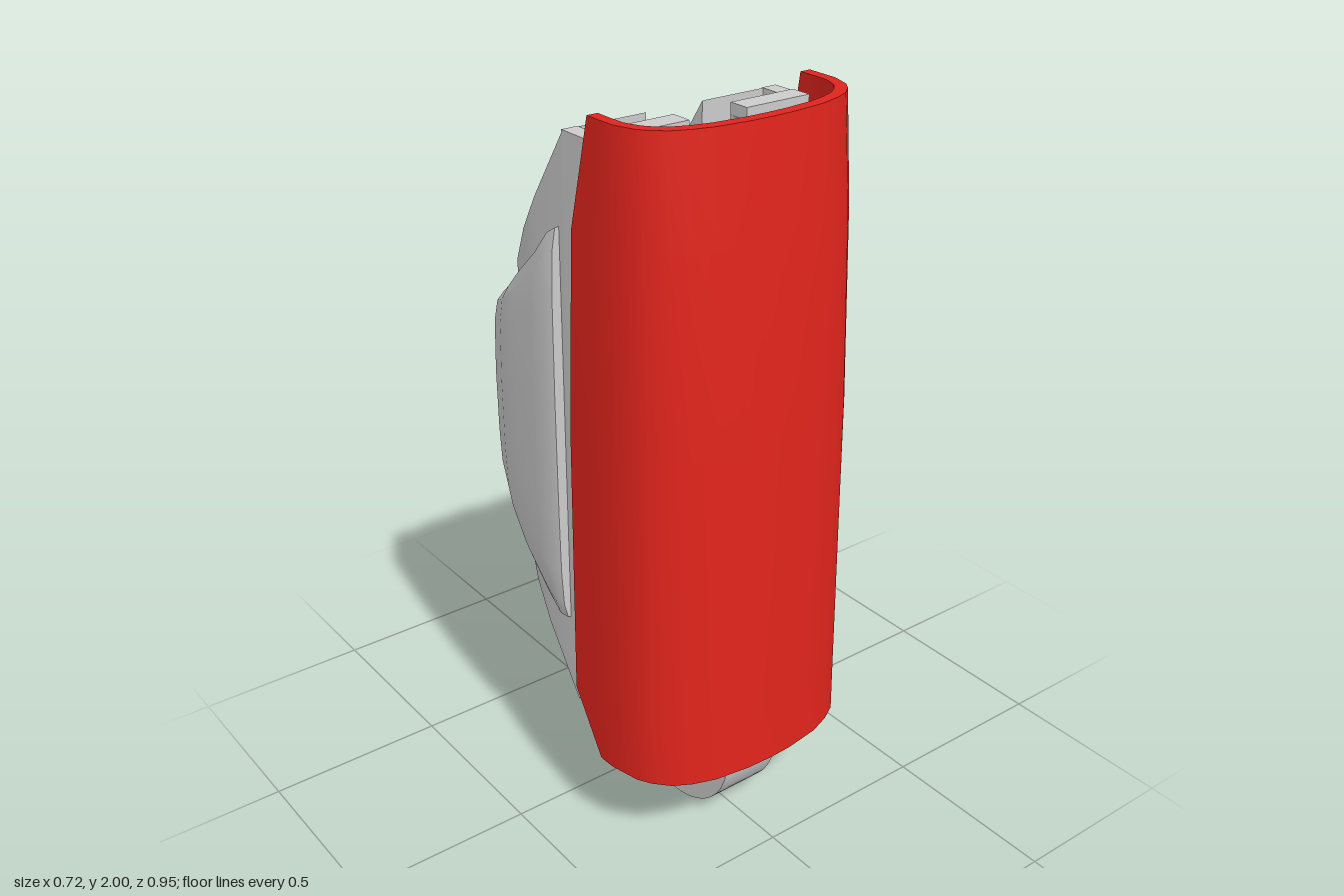
import * as THREE from 'three';
import { toCreasedNormals } from 'three/addons/utils/BufferGeometryUtils.js';

const GREY = 0xcccccc, RED = 0xe0241c;
const lerp = THREE.MathUtils.lerp;

function part(group, name, geometry, color = GREY) {
  const mesh = new THREE.Mesh(geometry, new THREE.MeshStandardMaterial({ color }));
  mesh.name = name;
  group.add(mesh);
  return mesh;
}

function box(group, name, x0, x1, y0, y1, z0, z1) {
  const g = new THREE.BoxGeometry(x1 - x0, y1 - y0, z1 - z0);
  return part(group, name, g.translate((x0 + x1) / 2, (y0 + y1) / 2, (z0 + z1) / 2));
}

// Plan outline (x, z) drawn upright, its top and bottom heights following z
function prism(outline, holes, top, bottom) {
  const shape = new THREE.Shape(outline.map(([x, z]) => new THREE.Vector2(x, z)));
  for (const h of holes) shape.holes.push(new THREE.Path(h.map(([x, z]) => new THREE.Vector2(x, z))));
  const g = new THREE.ExtrudeGeometry(shape, { depth: 1, bevelEnabled: false }).rotateX(Math.PI / 2);
  const p = g.attributes.position;
  for (let i = 0; i < p.count; i++) {
    const z = p.getZ(i);
    p.setY(i, lerp(top(z), bottom(z), -p.getY(i)));
  }
  return toCreasedNormals(g, 0.6);
}

// Skin stacked rows of points; a closed row is a thin wall with capped ends
function loft(rows, closed, crease) {
  const n = rows[0].length, index = [];
  const quad = (a, b, c, d) => index.push(a, b, c, a, c, d);
  for (let i = 0; i < rows.length - 1; i++)
    for (let j = 0; j < (closed ? n : n - 1); j++) {
      const k = (j + 1) % n;
      quad(i * n + j, (i + 1) * n + j, (i + 1) * n + k, i * n + k);
    }
  if (closed) {
    const last = (rows.length - 1) * n;
    for (let j = 0; j < n / 2 - 1; j++) {
      quad(last + j, last + n - 1 - j, last + n - 2 - j, last + j + 1);
      quad(j, j + 1, n - 2 - j, n - 1 - j);
    }
  }
  const g = new THREE.BufferGeometry();
  g.setAttribute('position', new THREE.Float32BufferAttribute(rows.flat(2), 3));
  g.setIndex(index);
  return toCreasedNormals(g, crease);
}

// Half outline mirrored to run from one side to the other through the centre
const mirrored = (half) => [...half, ...half.slice(0, -1).reverse().map(([x, ...r]) => [-x, ...r])];

const ellipse = (cx, cz, rx, rz, n) => Array.from({ length: n }, (_, i) => {
  const a = (i / n) * Math.PI * 2;
  return [cx + rx * Math.cos(a), cz + rz * Math.sin(a)];
});

// Rounded U at the front: half width w, front zf, open end zb
const frontU = (w, zf, zb) => mirrored([
  [w, zb], [w, lerp(zb, 0.23, 0.6)], [w * 0.995, 0.25], [w * 0.94, lerp(0.23, zf, 0.42)],
  [w * 0.88, lerp(0.23, zf, 0.57)], [w * 0.78, lerp(0.23, zf, 0.73)], [w * 0.65, lerp(0.23, zf, 0.84)],
  [w * 0.48, lerp(0.23, zf, 0.93)], [w * 0.2, lerp(0.23, zf, 0.99)], [0, zf],
]);

export function createModel() {
  const model = new THREE.Group();
  model.name = 'lowerLeg';

  // Red front shell: height, half width, front z, back edge z
  const shellRows = [
    [0.26, 0.36, 0.475, 0.2], [0.43, 0.36, 0.47, 0.09], [1.2, 0.355, 0.455, 0.09],
    [1.72, 0.343, 0.435, 0.1], [2, 0.33, 0.41, 0.155],
  ].map(([y, w, zf, zb]) => [
    ...frontU(w, zf, zb), ...frontU(w - 0.03, zf - 0.032, zb).reverse(),
  ].map(([x, z]) => [x, y, z]));
  part(model, 'frontShell', loft(shellRows, true, 0.6), RED);

  // Rear body with sloped ends, a through hole, a small blind hole and the hinge slot
  const rear = [
    [0.085, 0.045], [0.322, 0.045], [0.32, -0.09], [0.31, -0.16], [0.285, -0.235],
    [0.235, -0.29], [0.16, -0.318], [0, -0.328],
  ];
  const rearOutline = [...mirrored(rear), [-0.085, -0.07], [0.085, -0.07]];
  part(model, 'rearBody', prism(
    rearOutline,
    [ellipse(0, -0.162, 0.08, 0.073, 10), ellipse(0.17, -0.07, 0.045, 0.037, 10)],
    (z) => 1.94 - (0.045 - z) * 1.45,
    (z) => 0.345 + (0.045 - z) * 1.36,
  ));
  box(model, 'blindHolePlug', 0.12, 0.22, 0.62, 1.6, -0.115, -0.025);

  // Front body inside the shell, notched for the hinge and pierced by a small socket
  const half = frontU(0.288, 0.365, 0.152);
  part(model, 'frontBody', prism(
    [...half, [-0.085, 0.152], [-0.07, 0.288], [0.07, 0.288], [0.085, 0.152]],
    [[[-0.052, 0.3], [0.052, 0.3], [0.04, 0.352], [-0.04, 0.352]]],
    () => 1.93, () => 0.36,
  ));
  box(model, 'socketFloor', -0.06, 0.06, 0.55, 1.82, 0.296, 0.358);

  // Cross channel: floor, end walls and front ridges on both sides
  box(model, 'channelFloor', -0.3, 0.3, 0.52, 1.78, 0.04, 0.155);
  for (const s of [-1, 1]) {
    const wall = new THREE.Shape([[0.04, 0.35], [0.16, 0.35], [0.16, 1.94], [0.04, 1.94]]
      .map(([z, y]) => new THREE.Vector2(-z, y)));
    const g = new THREE.ExtrudeGeometry(wall, { depth: 0.045, bevelEnabled: false })
      .rotateY(Math.PI / 2).translate(s > 0 ? 0.277 : -0.322, 0, 0);
    part(model, 'channelEndWall', g);
    const x0 = s > 0 ? 0.085 : -0.28;
    box(model, 'hingeRidge', x0, x0 + 0.195, 1.85, 1.96, 0.152, 0.212);
  }

  // Hinge core with a concave seat at the top of the slot
  const core = new THREE.Shape();
  core.moveTo(0.07, 0.46);
  core.lineTo(0.07, 1.76);
  core.lineTo(-0.15, 1.72);
  core.absarc(-0.1, 1.93, 0.21, -1.8, -0.0, false);
  const seat = new THREE.Shape([
    [-0.075, 0.46], [0.292, 0.46], [0.292, 1.93], [0.275, 1.85], [0.245, 1.79],
    [0.21, 1.75], [0.15, 1.72], [-0.075, 1.72],
  ].map(([z, y]) => new THREE.Vector2(-z, y)));
  const seatGeo = new THREE.ExtrudeGeometry(seat, { depth: 0.17, bevelEnabled: false })
    .rotateY(Math.PI / 2).translate(-0.085, 0, 0);
  part(model, 'hingeCore', toCreasedNormals(seatGeo, 0.5));

  // Lower hinge: round disc and its cross pin
  const disc = new THREE.CylinderGeometry(0.24, 0.24, 0.17, 40).rotateZ(Math.PI / 2);
  part(model, 'hingeDisc', disc.translate(0, 0.24, 0.16));
  const pin = new THREE.CylinderGeometry(0.055, 0.055, 0.56, 20).rotateZ(Math.PI / 2);
  part(model, 'hingePin', pin.translate(0, 0.43, 0.1));

  // Calf bulge: outer x, z, top y, bottom y, then the inner x, z it tucks into
  const calf = mirrored([
    [-0.3, 0.015, 1.7, 0.6, -0.3, 0.015], [-0.35, 0.017, 1.7, 0.6, -0.3, 0.015],
    [-0.357, -0.01, 1.68, 0.6, -0.3, -0.02], [-0.352, -0.08, 1.61, 0.64, -0.3, -0.07],
    [-0.343, -0.18, 1.53, 0.71, -0.285, -0.15], [-0.332, -0.265, 1.46, 0.79, -0.26, -0.22],
    [-0.3, -0.345, 1.42, 0.84, -0.235, -0.265], [-0.255, -0.405, 1.4, 0.87, -0.2, -0.285],
    [-0.19, -0.452, 1.385, 0.895, -0.15, -0.3], [-0.1, -0.47, 1.38, 0.91, -0.09, -0.31],
    [0, -0.475, 1.375, 0.92, 0, -0.31],
  ]);
  // Each row: height fraction, pull towards the body
  const calfRows = [
    [-0.12, 1], [0, 0.4], [0.04, 0.16], [0.13, 0.05], [0.3, 0.01], [0.6, 0],
    [0.85, 0.04], [0.95, 0.14], [1, 0.34], [1.07, 1],
  ].map(([f, pull]) => calf.map(([x, z, top, bottom, ix, iz]) => {
    const k = THREE.MathUtils.smoothstep(-z, 0, 0.3);
    const v = lerp(THREE.MathUtils.clamp(f, 0, 1), f, k);
    return [lerp(x, ix, pull), lerp(bottom, top, v), lerp(z, iz, pull)];
  }));
  part(model, 'calfBulge', loft(calfRows, false, 0.45));

  return model;
}
